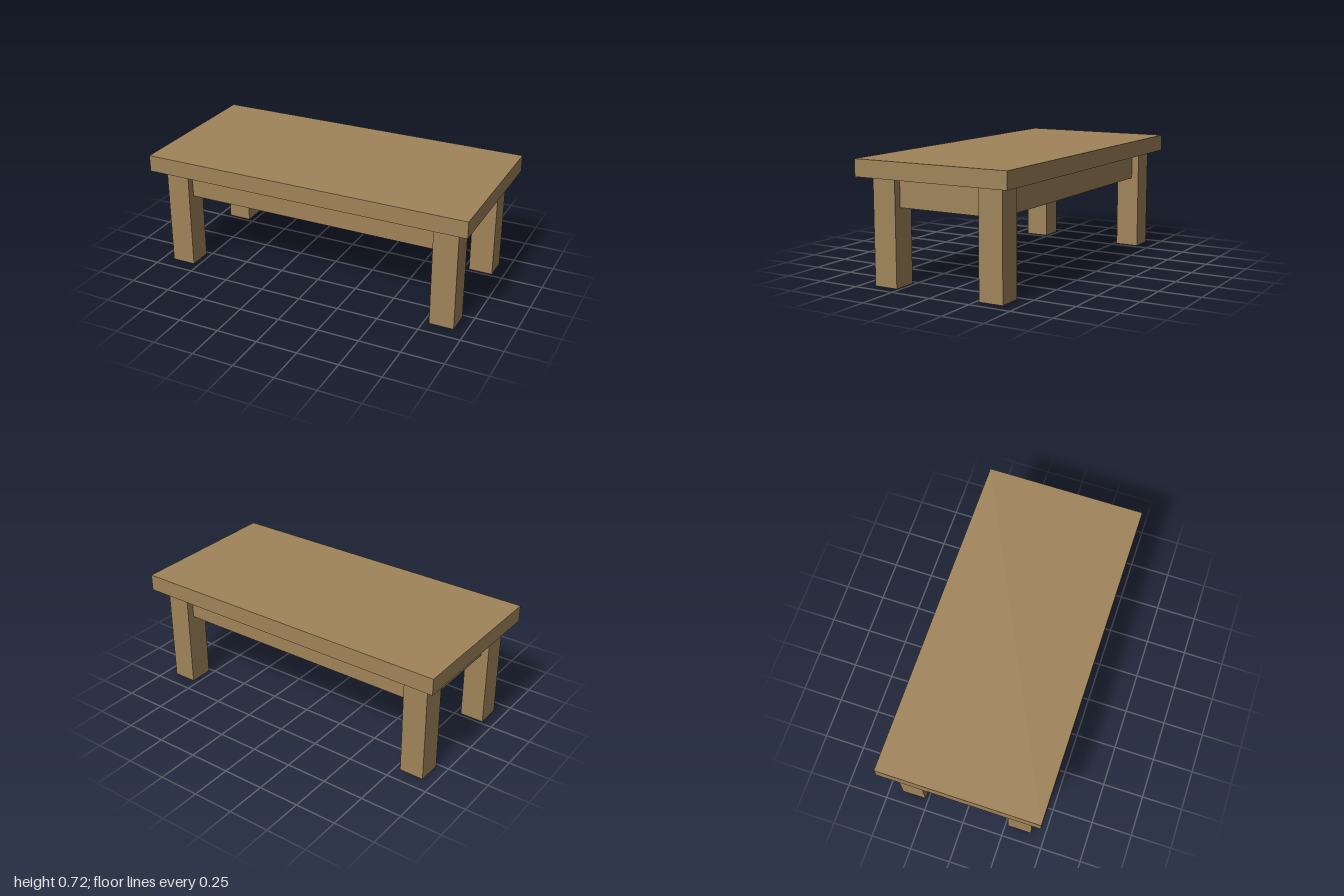
import * as THREE from 'three';

export function createModel() {
  const table = new THREE.Group();
  table.name = 'table';
  const wood = new THREE.MeshStandardMaterial({ color: 0xa0845a, side: THREE.DoubleSide });
  wood.name = 'wood';

  const topY = 0.72, legH = 0.62, legW = 0.147;
  const legX = 0.857, legZ = 0.342; // leg centres
  const apronH = 0.17, apronT = 0.055;

  function add(name, geometry, x, y, z) {
    const mesh = new THREE.Mesh(geometry, wood);
    mesh.name = name;
    mesh.position.set(x, y, z);
    table.add(mesh);
  }

  // Table top slab
  add('tableTop', new THREE.BoxGeometry(2, topY - legH, 0.97), 0, (topY + legH) / 2, 0);

  // Hollow legs: a box without its bottom face (fourth side, indices 18 to 23)
  const leg = new THREE.BoxGeometry(legW, legH, legW);
  const index = Array.from(leg.index.array);
  index.splice(18, 6);
  leg.setIndex(index);
  leg.clearGroups();
  for (const sx of [-1, 1]) {
    for (const sz of [-1, 1]) {
      const name = (sz > 0 ? 'front' : 'back') + (sx > 0 ? 'Left' : 'Right') + 'Leg';
      add(name, leg, sx * legX, legH / 2, sz * legZ);
    }
  }

  // Aprons run between the legs, centred on their width
  const longApron = new THREE.BoxGeometry(2 * legX - legW, apronH, apronT);
  const shortApron = new THREE.BoxGeometry(apronT, apronH, 2 * legZ - legW);
  const apronY = legH - apronH / 2;
  for (const s of [-1, 1]) {
    add(s > 0 ? 'frontApron' : 'backApron', longApron, 0, apronY, s * legZ);
    add(s > 0 ? 'leftApron' : 'rightApron', shortApron, s * legX, apronY, 0);
  }

  return table;
}
